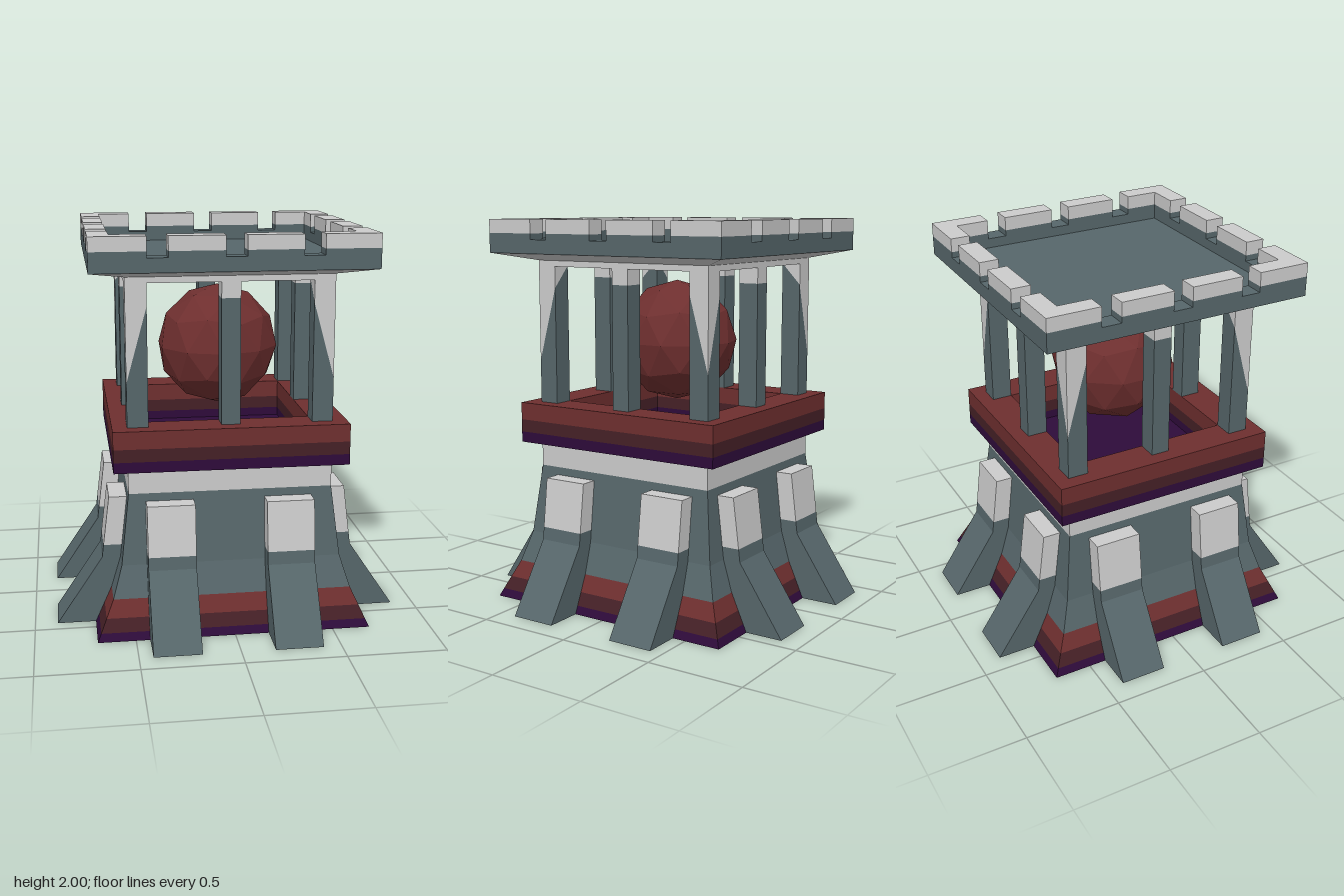
import * as THREE from 'three';

const paint = (name, color) =>
  new THREE.MeshStandardMaterial({ name, color, flatShading: true, side: THREE.DoubleSide });

export function createModel() {
  const stone = paint('slate stone', 0x56666a);
  const pale = paint('pale stone', 0xcccccc);
  const red = paint('brick red', 0x6e2f2f);
  const maroon = paint('dark maroon', 0x452026);
  const purple = paint('deep purple', 0x2e0b3a);

  const model = new THREE.Group();
  model.name = 'tower';

  const add = (parent, name, geometry, material) => {
    const mesh = new THREE.Mesh(geometry, material);
    mesh.name = name;
    parent.add(mesh);
    return mesh;
  };
  const group = (name, parent = model) => {
    const g = new THREE.Group();
    g.name = name;
    parent.add(g);
    return g;
  };
  // Square loft: points are [half width, height]
  const loft = (parent, name, points, material) => add(parent, name,
    new THREE.LatheGeometry(points.map(([r, y]) => new THREE.Vector2(r * Math.SQRT2, y)), 4, Math.PI / 4),
    material);
  const polygon = pts => new THREE.Shape(pts.map(([x, y]) => new THREE.Vector2(x, y)));

  // Flared hollow base with painted bands
  const base = group('base');
  loft(base, 'basePurpleBand', [[0.69, 0], [0.672, 0.04]], purple);
  loft(base, 'baseMaroonBand', [[0.672, 0.04], [0.643, 0.105]], maroon);
  loft(base, 'baseRedBand', [[0.643, 0.105], [0.605, 0.19]], red);
  loft(base, 'baseWall', [[0.605, 0.19], [0.557, 0.35], [0.515, 0.71]], stone);
  loft(base, 'baseCollar', [[0.515, 0.71], [0.515, 0.84]], pale);

  // Buttresses, two on each side
  const width = 0.24;
  const buttressPart = profile => new THREE.ExtrudeGeometry(polygon(profile), { depth: width, bevelEnabled: false })
    .rotateY(-Math.PI / 2).translate(width / 2, 0, 0);
  const foot = buttressPart([[0.69, 0], [0.885, 0], [0.65, 0.35], [0.642, 0.415], [0.549, 0.415], [0.557, 0.35], [0.605, 0.19]]);
  const cap = buttressPart([[0.549, 0.415], [0.642, 0.415], [0.61, 0.67], [0.519, 0.67]]);
  for (let i = 0; i < 4; i++) {
    const side = group('buttressSide', base);
    side.rotation.y = i * Math.PI / 2;
    const shift = i % 2 ? 0.01 : -0.01;
    for (const x of [-0.3, 0.3]) {
      add(side, 'buttressFoot', foot, stone).position.x = x + shift;
      add(side, 'buttressCap', cap, pale).position.x = x + shift;
    }
  }

  // Platform with a sunken floor
  const platform = group('platform');
  const rim = 0.59, well = 0.41;
  loft(platform, 'platformUnderside', [[0.515, 0.84], [rim, 0.84], [rim, 0.895]], purple);
  loft(platform, 'platformMaroonBand', [[rim, 0.895], [rim, 0.96]], maroon);
  loft(platform, 'platformRim', [[rim, 0.96], [rim, 1.05], [well, 1.05], [well, 0.96]], red);
  loft(platform, 'wellMaroonBand', [[well, 0.96], [well, 0.895]], maroon);
  loft(platform, 'wellFloor', [[well, 0.895], [well, 0.85], [0, 0.85]], purple);

  // Faceted ball with a vertex at each pole
  const ball = new THREE.IcosahedronGeometry(0.318, 1)
    .rotateX(-Math.atan((1 + Math.sqrt(5)) / 2)).rotateY(Math.PI / 2);
  add(model, 'ball', ball, red).position.y = 1.362;

  // Pillars: grey shaft and pale head meet along a height rule
  const bottom = 1.05, top = 1.76;
  const pillarPart = (cx, cz, w, d, isHead, split) => {
    const geo = new THREE.BoxGeometry(w, 1, d);
    const p = geo.attributes.position;
    for (let i = 0; i < p.count; i++) {
      const x = p.getX(i) + cx, z = p.getZ(i) + cz, upper = p.getY(i) > 0;
      const y = upper === isHead ? (isHead ? top : bottom) : Math.min(top, split(x, z));
      p.setXYZ(i, x, y, z);
    }
    geo.computeVertexNormals();
    return geo;
  };
  const pillars = group('pillars');
  const outer = 0.515, thick = 0.105, mid = outer - thick / 2;
  const cornerSplit = (x, z) => 1.27 + 0.38 * (2 * outer - Math.abs(x) - Math.abs(z)) / thick;
  const middleSplit = () => 1.68;
  for (let i = 0; i < 4; i++) {
    const side = group('pillarPair', pillars);
    side.rotation.y = i * Math.PI / 2;
    for (const head of [false, true]) {
      const material = head ? pale : stone, part = head ? 'Head' : 'Shaft';
      add(side, 'cornerPillar' + part, pillarPart(mid, mid, thick, thick, head, cornerSplit), material);
      add(side, 'middlePillar' + part, pillarPart(0, mid, 0.095, thick, head, middleSplit), material);
    }
  }

  // Roof: lintel frame, sloped eaves, low wall and deck
  const roof = group('roof');
  const edge = 0.69, inner = 0.59;
  loft(roof, 'eaves', [[well, 1.79], [well, 1.76], [outer, 1.76], [outer, 1.79], [edge, 1.83]], pale);
  loft(roof, 'ceilingEdge', [[well, 1.79], [well, 1.85]], stone);
  loft(roof, 'deckAndWall', [[edge, 1.83], [edge, 1.9], [inner, 1.9], [inner, 1.85], [0, 1.85]], stone);

  // Battlements: two straight blocks and one corner block per side
  const plans = [
    [[0.05, inner], [0.32, inner], [0.32, edge], [0.05, edge]],
    [[-0.32, inner], [-0.05, inner], [-0.05, edge], [-0.32, edge]],
    [[0.42, inner], [inner, inner], [inner, 0.42], [edge, 0.42], [edge, edge], [0.42, edge]],
  ];
  const block = (plan, y, h) => new THREE.ExtrudeGeometry(polygon(plan), { depth: h, bevelEnabled: false })
    .rotateX(-Math.PI / 2).translate(0, y, 0);
  for (let i = 0; i < 4; i++) {
    const side = group('battlementSide', roof);
    side.rotation.y = i * Math.PI / 2;
    for (const plan of plans) {
      add(side, 'battlementFoot', block(plan, 1.9, 0.03), stone);
      add(side, 'battlementTop', block(plan, 1.93, 0.07), pale);
    }
  }
  return model;
}
